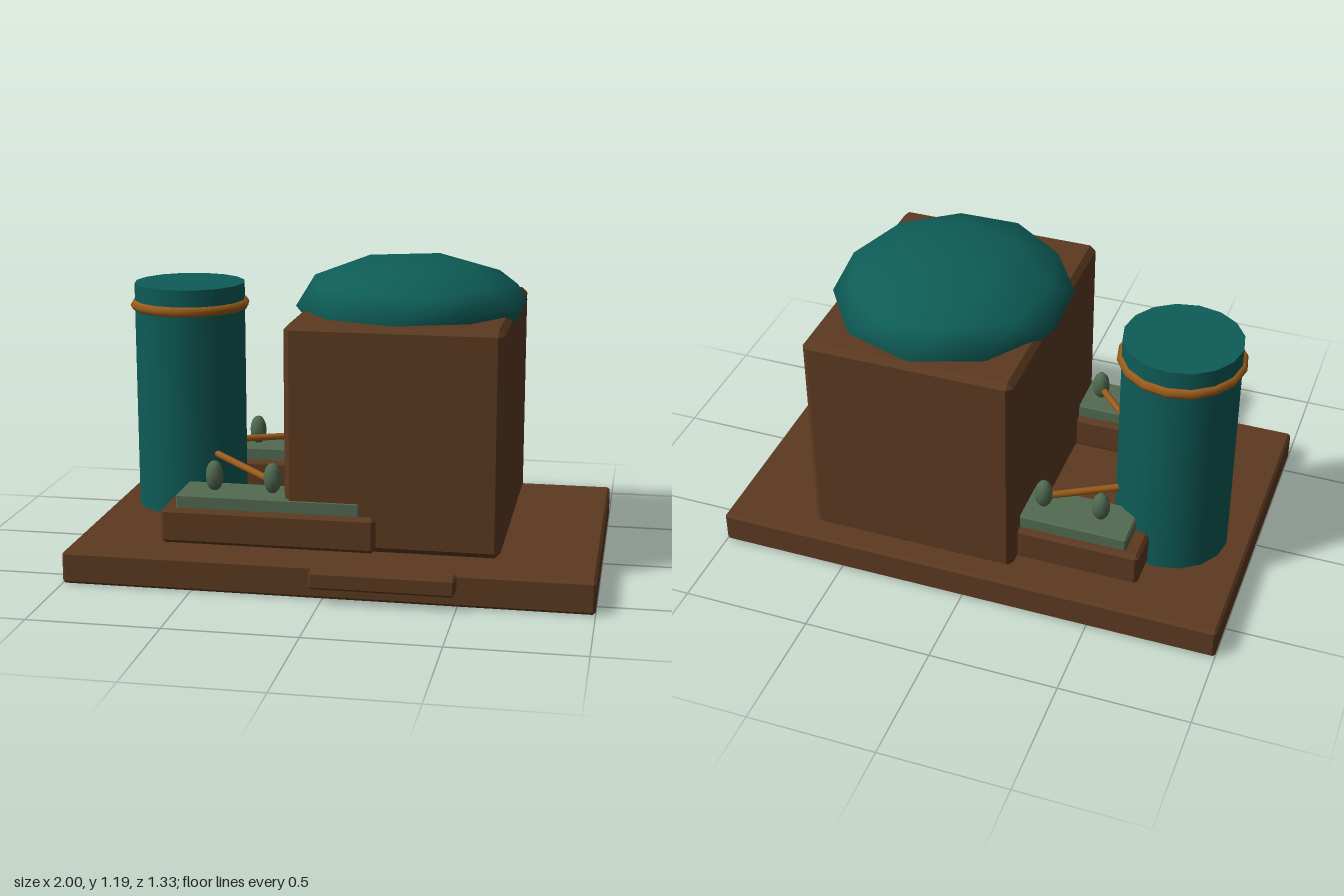
import * as THREE from 'three';
import { ConvexGeometry } from 'three/addons/geometries/ConvexGeometry.js';

const material = (name, color) => {
  const m = new THREE.MeshStandardMaterial({ color });
  m.name = name;
  return m;
};

// Box between two corners with chamfered edges: three points at each corner
function chamferBox([x0, y0, z0], [x1, y1, z1], c) {
  const half = new THREE.Vector3(x1 - x0, y1 - y0, z1 - z0).multiplyScalar(0.5);
  const points = [];
  for (const sx of [-1, 1]) for (const sy of [-1, 1]) for (const sz of [-1, 1]) {
    for (const axis of [0, 1, 2]) {
      const inset = [c, c, c];
      inset[axis] = 0;
      points.push(new THREE.Vector3(
        sx * (half.x - inset[0]), sy * (half.y - inset[1]), sz * (half.z - inset[2])));
    }
  }
  return new ConvexGeometry(points).translate((x0 + x1) / 2, (y0 + y1) / 2, (z0 + z1) / 2);
}

export function createModel() {
  const group = new THREE.Group();
  group.name = 'building';

  const brown = material('brown', 0x5c3a21);
  const teal = material('teal', 0x0e5c57);
  const copper = material('copper', 0x9a5c1c);
  const sage = material('sage', 0x526a50);

  const add = (name, geometry, mat) => {
    const mesh = new THREE.Mesh(geometry, mat);
    mesh.name = name;
    group.add(mesh);
    return mesh;
  };

  // Ground slab, front step and main block
  add('base', chamferBox([-1, 0, -0.665], [1, 0.125, 0.6], 0.01), brown);
  add('step', chamferBox([-0.04, 0.057, 0.58], [0.497, 0.124, 0.665], 0.008), brown);
  add('mainBlock', chamferBox([-0.18, 0.13, -0.592], [0.637, 0.99, 0.425], 0.022), brown);

  // Faceted dome, with a vertex at the top
  const dome = new THREE.IcosahedronGeometry(1, 1);
  dome.rotateZ(Math.atan(2 / (1 + Math.sqrt(5))));
  dome.rotateY(Math.PI);
  dome.scale(0.457, 0.19, 0.482);
  add('dome', dome, teal).position.set(0.23, 0.996, -0.087);

  // Tank with a copper band
  const tankX = -0.69, tankZ = -0.165;
  add('tank', new THREE.CylinderGeometry(0.223, 0.223, 0.92, 16), teal)
    .position.set(tankX, 0.58, tankZ);
  const band = new THREE.TorusGeometry(0.219, 0.022, 6, 16).rotateX(Math.PI / 2);
  add('tankBand', band, copper).position.set(tankX, 0.953, tankZ);

  // Side platforms with knobs, and a pipe from the tank to each
  for (const [side, z] of [['front', 0.332], ['back', -0.403]]) {
    add(side + 'Platform', chamferBox([-0.655, 0.135, z - 0.122], [0.17, 0.27, z + 0.122], 0.013), brown);
    add(side + 'Tray', chamferBox([-0.6, 0.26, z - 0.096], [0.11, 0.322, z + 0.096], 0.007), sage);
    for (const x of [-0.47, -0.243]) {
      const knob = new THREE.SphereGeometry(1, 10, 8).scale(0.035, 0.06, 0.035);
      add(side + 'Knob', knob, sage).position.set(x, 0.376, z);
    }
    const path = new THREE.LineCurve3(
      new THREE.Vector3(tankX, 0.374, tankZ), new THREE.Vector3(-0.243, 0.364, z));
    add(side + 'Pipe', new THREE.TubeGeometry(path, 1, 0.014, 8), copper);
  }

  return group;
}
